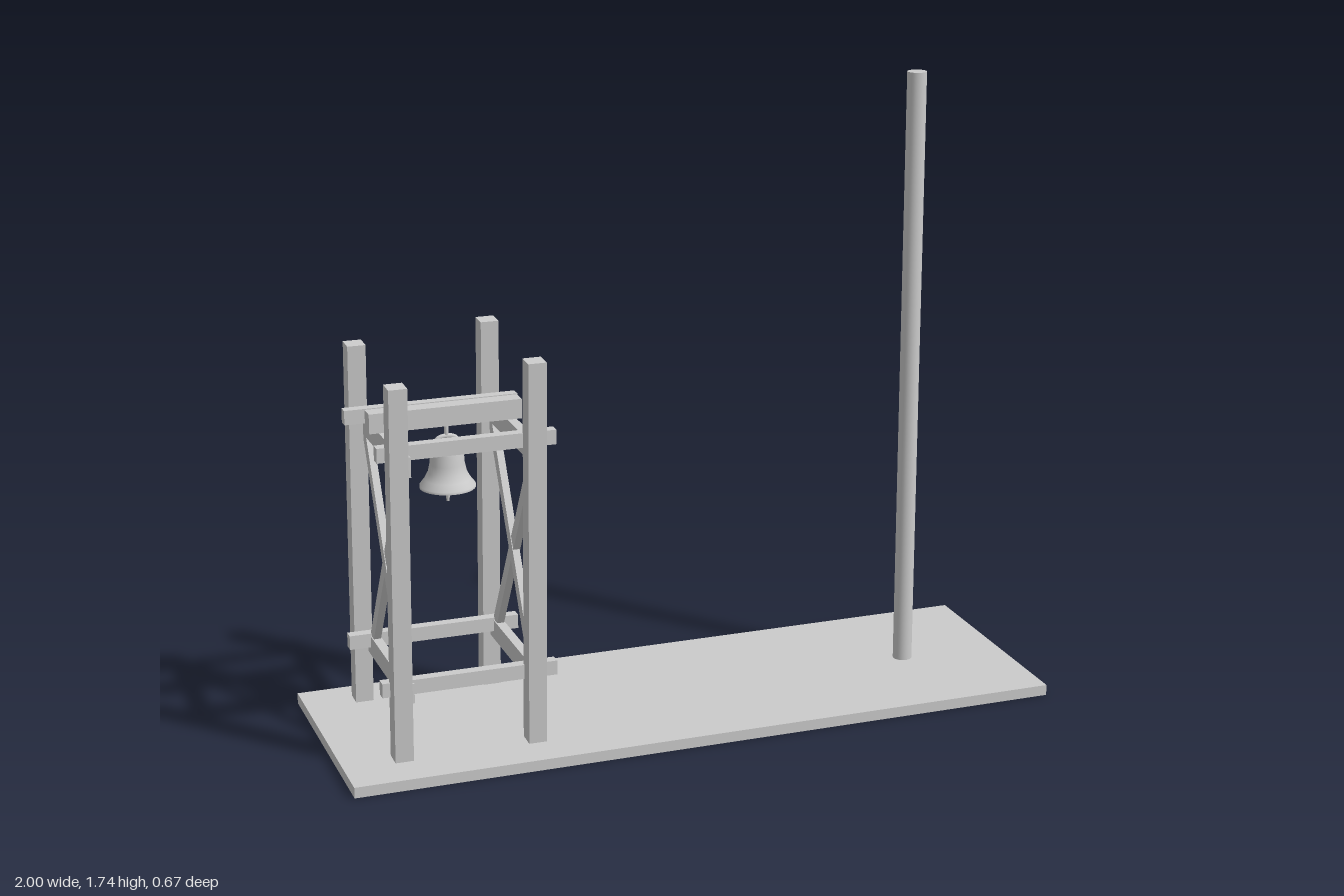
import * as THREE from 'three';

const mat = new THREE.MeshStandardMaterial({ color: 0xcccccc });
const smooth = new THREE.MeshStandardMaterial({ color: 0xcccccc, side: THREE.DoubleSide });

function add(parent, name, geometry, x, y, z, material = mat) {
  const mesh = new THREE.Mesh(geometry, material);
  mesh.name = name;
  mesh.position.set(x, y, z);
  parent.add(mesh);
  return mesh;
}

// Box given by its low and high corners
function block(parent, name, [x0, y0, z0], [x1, y1, z1]) {
  return add(parent, name, new THREE.BoxGeometry(x1 - x0, y1 - y0, z1 - z0),
    (x0 + x1) / 2, (y0 + y1) / 2, (z0 + z1) / 2);
}

// Square timber in the plane of constant x, running between two (y, z) points
function timber(parent, name, x, [y0, z0], [y1, z1], width, depth) {
  const length = Math.hypot(y1 - y0, z1 - z0);
  const mesh = add(parent, name, new THREE.BoxGeometry(width, length, depth),
    x, (y0 + y1) / 2, (z0 + z1) / 2);
  mesh.rotation.x = Math.atan2(z1 - z0, y1 - y0);
  return mesh;
}

function createBell() {
  const bell = new THREE.Group();
  bell.name = 'bell';
  bell.position.set(-0.647, 0, 0.024);

  // Hollow body: outer wall up to the crown, then back down inside
  const outer = [[0.075, 0.714], [0.075, 0.721], [0.062, 0.738], [0.052, 0.757], [0.047, 0.78],
    [0.045, 0.81], [0.041, 0.823], [0.032, 0.83], [0, 0.83]];
  const inner = [[0, 0.82], [0.03, 0.815], [0.038, 0.78], [0.045, 0.75], [0.066, 0.714], [0.075, 0.714]];
  const profile = [...outer, ...inner].map(([r, y]) => new THREE.Vector2(r, y));
  add(bell, 'bellBody', new THREE.LatheGeometry(profile, 32), 0, 0, 0, smooth);

  // Hanging loop
  const loop = new THREE.CatmullRomCurve3([[-0.03, 0.822], [-0.028, 0.844], [-0.016, 0.853],
    [0.016, 0.853], [0.028, 0.844], [0.03, 0.822]].map(([x, y]) => new THREE.Vector3(x, y, 0)));
  add(bell, 'hangingLoop', new THREE.TubeGeometry(loop, 24, 0.007, 8), 0, 0, 0);
  add(bell, 'hanger', new THREE.CylinderGeometry(0.006, 0.006, 0.05, 10), 0, 0.875, 0);

  // Clapper
  add(bell, 'clapperRod', new THREE.CylinderGeometry(0.004, 0.004, 0.12, 8), 0, 0.762, 0);
  add(bell, 'clapperBall', new THREE.SphereGeometry(0.013, 16, 12), 0, 0.704, 0);
  add(bell, 'clapperTip', new THREE.CylinderGeometry(0.006, 0.004, 0.022, 10), 0, 0.685, 0);
  return bell;
}

export function createModel() {
  const model = new THREE.Group();
  model.name = 'bellTowerAndPole';

  // Base slab and tall round pole
  block(model, 'base', [-1, 0, -0.333], [1, 0.03, 0.333]);
  add(model, 'pole', new THREE.CylinderGeometry(0.027, 0.027, 1.71, 32), 0.705, 0.885, 0);

  const tower = new THREE.Group();
  tower.name = 'bellTower';
  model.add(tower);

  // Two side frames: leaning posts, level beams and crossed braces
  const sides = [
    { name: 'right', post: -0.836, beam: -0.81, top: 1.07 },
    { name: 'left', post: -0.467, beam: -0.458, top: 1.103 },
  ];
  const lean = 0.041;
  for (const { name, post, beam, top } of sides) {
    for (const [end, z] of [['Front', 0.196], ['Back', -0.238]]) {
      timber(tower, name + end + 'Post', post, [0.031, z], [top, z + lean * top], 0.05, 0.051);
    }
    block(tower, name + 'UpperBeam', [beam - 0.013, 0.818, -0.244], [beam + 0.013, 0.873, 0.225]);
    block(tower, name + 'LowerBeam', [beam - 0.013, 0.182, -0.225], [beam + 0.013, 0.237, 0.195]);
    timber(tower, name + 'BraceA', beam, [0.2, -0.19], [0.85, 0.21], 0.02, 0.033);
    timber(tower, name + 'BraceB', beam - 0.002, [0.2, 0.18], [0.85, -0.19], 0.02, 0.033);
  }

  // Rails running across the front and back, just inside the posts
  for (const [name, y, z] of [['upperFrontRail', 0.88, 0.193], ['upperBackRail', 0.88, -0.157],
    ['lowerFrontRail', 0.225, 0.173], ['lowerBackRail', 0.225, -0.187]]) {
    block(tower, name, [-0.882, y - 0.02, z - 0.015], [-0.4, y + 0.02, z + 0.015]);
  }

  // Beam that carries the bell
  block(tower, 'bellBeam', [-0.86, 0.888, 0], [-0.444, 0.942, 0.045]);
  tower.add(createBell());

  return model;
}
